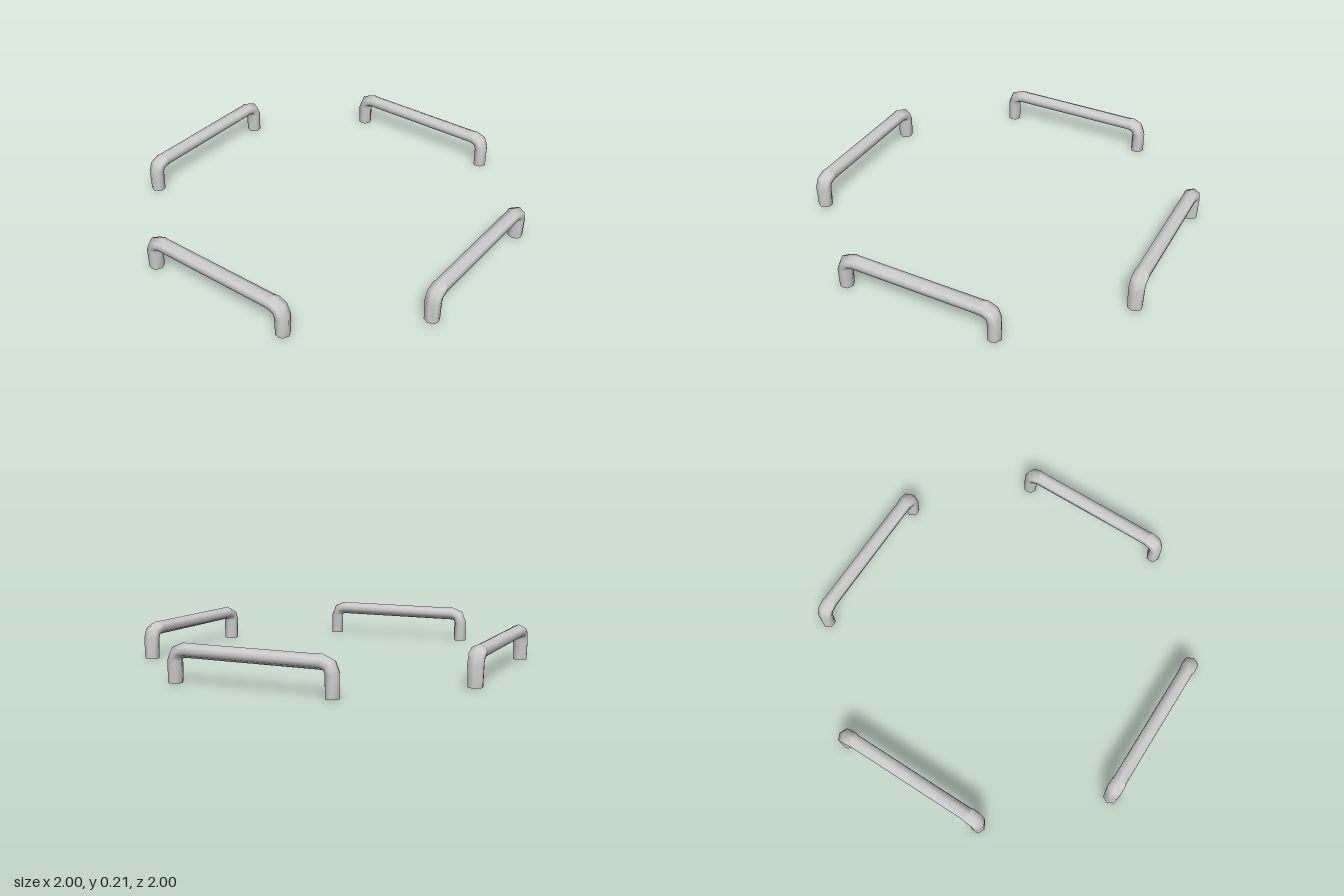
import * as THREE from 'three';

const LEG_X = 0.434, BAR_Y = 0.167, BEND = 0.05, OFFSET = 0.958;

// Eight-sided cross-section: a = half depth in the bend plane, b = half width across it
const section = (a, b) => [
  [a, 0], [0.57 * a, 0.88 * b], [0, b], [-0.57 * a, 0.88 * b],
  [-a, 0], [-0.57 * a, -0.88 * b], [0, -b], [0.57 * a, -0.88 * b],
];

// Path stations for one leg and elbow: position, outward direction, section size
function halfStations() {
  const list = [{ x: LEG_X, y: 0, t: 0, a: 0.039, b: 0.038 }];
  for (const deg of [0, 45, 90]) {
    const t = THREE.MathUtils.degToRad(deg);
    list.push({
      x: LEG_X - BEND + BEND * Math.cos(t),
      y: BAR_Y - BEND + BEND * Math.sin(t),
      t, a: 0.039, b: 0.042,
    });
  }
  list.push({ x: LEG_X - BEND - 0.02, y: BAR_Y, t: Math.PI / 2, a: 0.0375, b: 0.038 });
  return list;
}

// Open-ended tube lofted through both legs and the bar
function handleGeometry() {
  const right = halfStations();
  const left = halfStations().reverse().map((s) => ({ ...s, x: -s.x, t: Math.PI - s.t }));
  const stations = [...right, ...left];
  const positions = [], index = [], n = 8;
  stations.forEach((s, i) => {
    for (const [u, w] of section(s.a, s.b)) {
      positions.push(s.x + u * Math.cos(s.t), s.y + u * Math.sin(s.t), w);
    }
    if (i === 0) return;
    for (let j = 0; j < n; j++) {
      const k = (j + 1) % n;
      const p = (i - 1) * n + j, q = (i - 1) * n + k, r = i * n + j, m = i * n + k;
      index.push(p, r, q, q, r, m);
    }
  });
  const geometry = new THREE.BufferGeometry();
  geometry.setAttribute('position', new THREE.Float32BufferAttribute(positions, 3));
  geometry.setIndex(index);
  geometry.computeVertexNormals();
  return geometry;
}

export function createModel() {
  const group = new THREE.Group();
  group.name = 'handles';
  const material = new THREE.MeshStandardMaterial({ color: 0xcccccc, side: THREE.DoubleSide });
  const geometry = handleGeometry();

  // Four identical handles around the centre
  ['frontHandle', 'leftHandle', 'backHandle', 'rightHandle'].forEach((name, i) => {
    const angle = (i * Math.PI) / 2;
    const handle = new THREE.Mesh(geometry, material);
    handle.name = name;
    handle.rotation.y = angle;
    handle.position.set(Math.sin(angle) * OFFSET, 0, Math.cos(angle) * OFFSET);
    group.add(handle);
  });
  return group;
}
